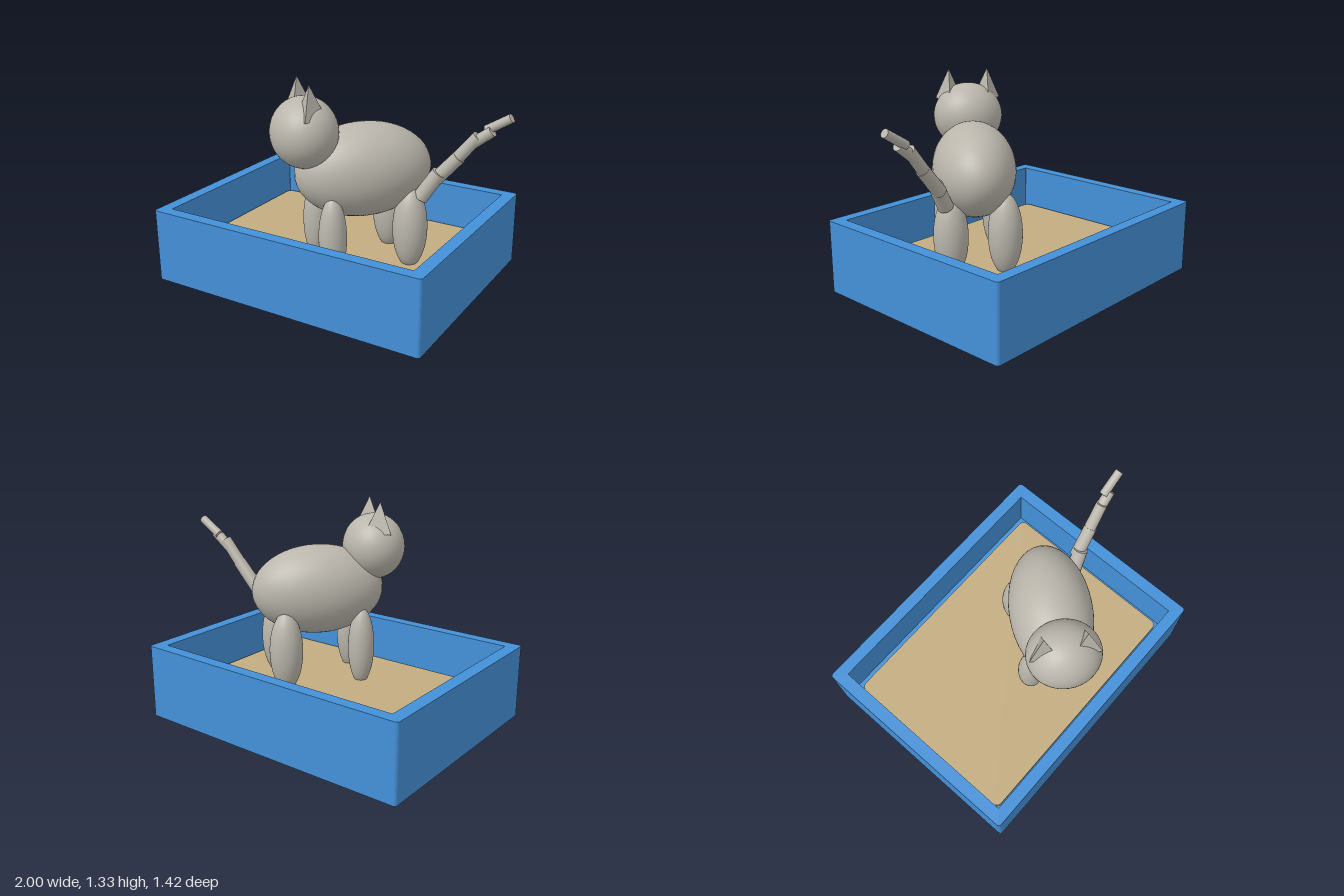
import * as THREE from 'three';

const blue = new THREE.MeshStandardMaterial({ color: 0x4490d8 });
blue.name = 'tray blue';
const tan = new THREE.MeshStandardMaterial({ color: 0xc3ac80 });
tan.name = 'sand tan';
const grey = new THREE.MeshStandardMaterial({ color: 0xbab6ac });
grey.name = 'fur grey';

function addMesh(parent, name, geometry, material, x = 0, y = 0, z = 0) {
  const mesh = new THREE.Mesh(geometry, material);
  mesh.name = name;
  mesh.position.set(x, y, z);
  parent.add(mesh);
  return mesh;
}

// Rounded rectangle outline centred on the origin
function roundedRect(Type, w, d, r) {
  const s = new Type();
  const x = w / 2, y = d / 2;
  s.absarc(x - r, y - r, r, 0, Math.PI / 2);
  s.absarc(-x + r, y - r, r, Math.PI / 2, Math.PI);
  s.absarc(-x + r, -y + r, r, Math.PI, Math.PI * 1.5);
  s.absarc(x - r, -y + r, r, Math.PI * 1.5, Math.PI * 2);
  s.closePath();
  return s;
}

// Upright slab standing on y = 0
function slab(shape, height) {
  return new THREE.ExtrudeGeometry(shape, { depth: height, bevelEnabled: false, curveSegments: 5 })
    .rotateX(-Math.PI / 2);
}

function ellipsoid(rx, ry, rz) {
  return new THREE.SphereGeometry(1, 40, 28).scale(rx, ry, rz);
}

function createTray() {
  const tray = new THREE.Group();
  tray.name = 'litterTray';
  tray.position.x = -0.085;
  const walls = roundedRect(THREE.Shape, 1.83, 1.42, 0.02);
  walls.holes.push(roundedRect(THREE.Path, 1.67, 1.27, 0.004));
  addMesh(tray, 'trayWalls', slab(walls, 0.467), blue);
  addMesh(tray, 'trayFloor', slab(roundedRect(THREE.Shape, 1.68, 1.28, 0.004), 0.165), blue);
  addMesh(tray, 'sand', slab(roundedRect(THREE.Shape, 1.63, 1.2, 0.035), 0.045), tan, 0, 0.15, 0);
  return tray;
}

function createCat() {
  const cat = new THREE.Group();
  cat.name = 'cat';
  cat.position.set(0.152, 0, 0.122);
  cat.rotation.y = THREE.MathUtils.degToRad(-40);

  addMesh(cat, 'body', ellipsoid(0.256, 0.285, 0.423), grey, 0, 0.77, 0);
  addMesh(cat, 'head', ellipsoid(0.22, 0.209, 0.198), grey, 0.003, 1.032, 0.364);

  // Three-sided pointed ears
  const ear = new THREE.ConeGeometry(0.098, 0.195, 3).rotateY(Math.PI).toNonIndexed();
  ear.computeVertexNormals();

  for (const side of [1, -1]) {
    const label = side > 0 ? 'left' : 'right';
    addMesh(cat, label + 'Ear', ear, grey, side * 0.122, 1.236, 0.367);
    addMesh(cat, label + 'FrontLeg', ellipsoid(0.083, 0.255, 0.083), grey, side * 0.157, 0.418, 0.248);
    addMesh(cat, label + 'BackLeg', ellipsoid(0.105, 0.255, 0.105), grey, side * 0.163, 0.42, -0.237);
  }
  return cat;
}

// Overlapping straight segments that taper towards the tip
function createTail() {
  const tail = new THREE.Group();
  tail.name = 'tail';
  const segments = [
    [0.484, 0.62, 0.027, 0.587, 0.784, 0.0, 0.048],
    [0.56, 0.735, -0.008, 0.698, 0.893, -0.022, 0.043],
    [0.66, 0.85, -0.02, 0.803, 1.028, -0.035, 0.038],
    [0.755, 0.97, -0.033, 0.882, 1.068, -0.042, 0.034],
    [0.84, 1.065, -0.058, 0.982, 1.153, -0.06, 0.028],
  ];
  const up = new THREE.Vector3(0, 1, 0);
  segments.forEach(([ax, ay, az, bx, by, bz, r], i) => {
    const a = new THREE.Vector3(ax, ay, az);
    const b = new THREE.Vector3(bx, by, bz);
    const along = b.clone().sub(a);
    const geometry = new THREE.CylinderGeometry(r * 0.95, r, along.length(), 16);
    const mesh = addMesh(tail, 'tailSegment' + (i + 1), geometry, grey);
    mesh.position.copy(a).add(b).multiplyScalar(0.5);
    mesh.quaternion.setFromUnitVectors(up, along.normalize());
  });
  return tail;
}

export function createModel() {
  const model = new THREE.Group();
  model.name = 'catInLitterTray';
  model.add(createTray(), createCat(), createTail());
  return model;
}
